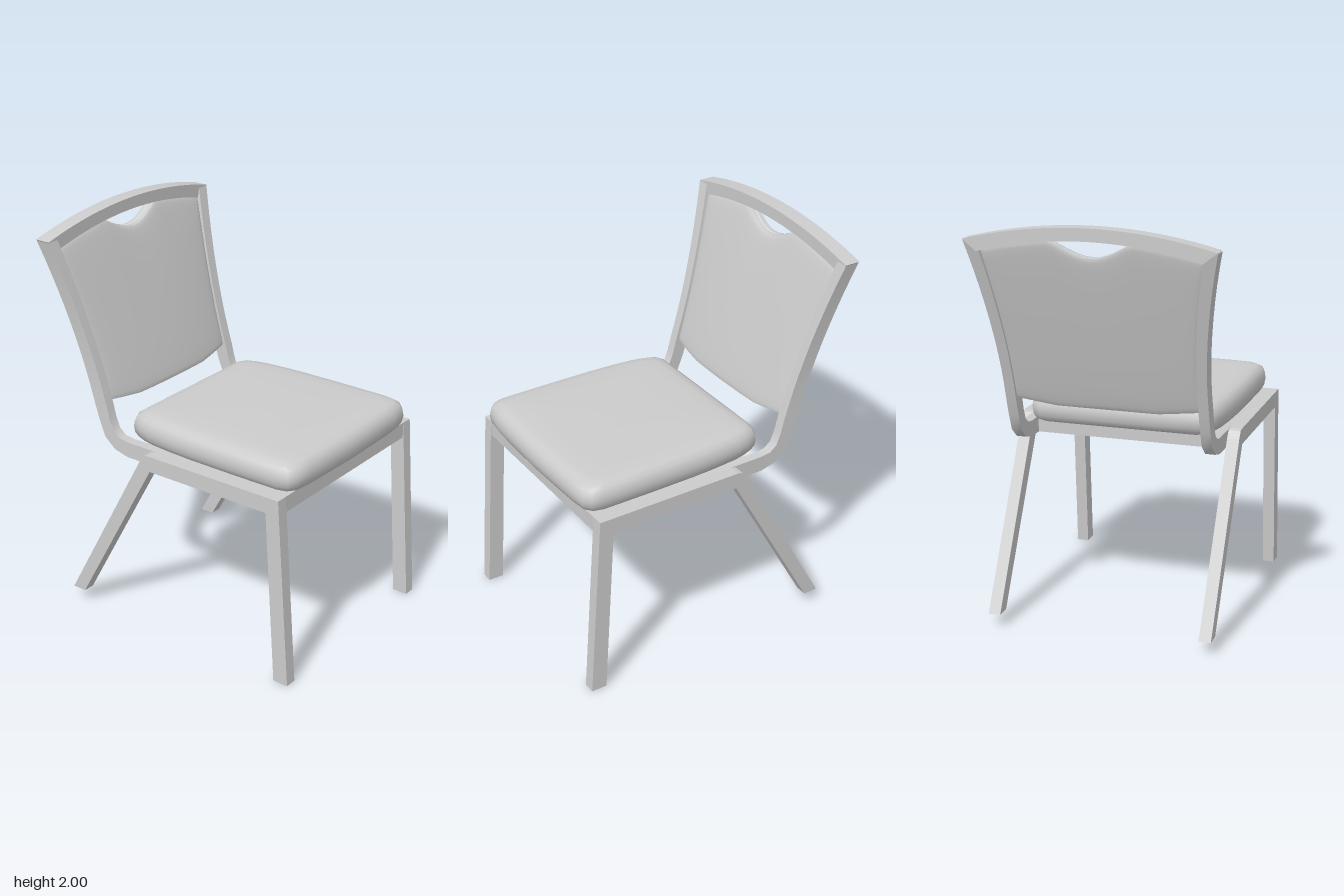
import * as THREE from 'three';
import { toCreasedNormals } from 'three/addons/utils/BufferGeometryUtils.js';

const material = new THREE.MeshStandardMaterial({ color: 0xcccccc });

// Outward flare of the back frame at height y
const flare = (y) => 0.097 * Math.pow(Math.max(0, (y - 1.2) / 0.72), 1.8);
// Inner face of the back uprights at height y
const innerX = (y) => 0.45 + 0.88 * flare(y);
// Backward lean of the back at height y
const lean = (y) => -0.3 * (y - 1.1);
// Lower edge of the bowed top bar
const barUnderside = (x) => 1.94 - 0.07 * (x / 0.53) ** 2;

function addMesh(parent, name, geometry) {
  const mesh = new THREE.Mesh(geometry, material);
  mesh.name = name;
  parent.add(mesh);
  return mesh;
}

// Surface from a rule fn(i, j) -> [x, y, z] on an nu by nv grid
function surface(fn, nu, nv) {
  const pos = [], idx = [];
  for (let j = 0; j <= nv; j++) {
    for (let i = 0; i <= nu; i++) pos.push(...fn(i, j));
  }
  for (let j = 0; j < nv; j++) {
    for (let i = 0; i < nu; i++) {
      const a = j * (nu + 1) + i, b = a + 1, c = a + nu + 1, d = c + 1;
      idx.push(a, b, d, a, d, c);
    }
  }
  const g = new THREE.BufferGeometry();
  g.setAttribute('position', new THREE.Float32BufferAttribute(pos, 3));
  g.setIndex(idx);
  return toCreasedNormals(g, 0.8);
}

// Front leg, side rail and splayed rear leg as one bent tube
function legTube(x0, x1) {
  const profile = [
    [0.73, 0], [0.665, 0.96], [-0.1, 0.96], [-0.125, 0.955], [-0.15, 0.92],
    [-0.62, 0.065], [-0.545, 0.065], [-0.09, 0.88], [0.595, 0.88], [0.65, 0],
  ];
  const shape = new THREE.Shape(profile.map(([z, y]) => new THREE.Vector2(-z, y)));
  const g = new THREE.ExtrudeGeometry(shape, { depth: x1 - x0, bevelEnabled: false });
  return g.rotateY(Math.PI / 2).translate(x0, 0, 0);
}

// Inner rail that bends up into the flared back upright
function uprightTube(side) {
  // [upper z, upper y, lower z, lower y] of each cross-section
  const sections = [
    [0.6, 0.96, 0.6, 0.88], [-0.28, 0.96, -0.28, 0.88], [-0.33, 0.967, -0.36, 0.9],
    [-0.365, 0.995, -0.42, 0.95], [-0.388, 1.05, -0.452, 1.03],
  ];
  for (let y = 1.12; y < 1.925; y += 0.08) {
    sections.push([-0.4 + lean(y), y, -0.475 + lean(y), y]);
  }
  const corners = side > 0 ? [[0, 0], [1, 0], [1, 1], [0, 1], [0, 0]] : [[1, 0], [0, 0], [0, 1], [1, 1], [1, 0]];
  return surface((i, j) => {
    const [outer, under] = corners[i], s = sections[j];
    const z = s[under * 2], y = s[under * 2 + 1];
    return [side * (outer ? 0.5 + flare(y) : innerX(y)), y, z];
  }, 4, sections.length - 1);
}

// Bowed bar across the top of the back
function topBar() {
  const upper = [], lower = [];
  for (let i = 0; i <= 20; i++) {
    const t = i / 10 - 1;
    upper.push(new THREE.Vector2(0.597 * t, 2 - 0.077 * t * t));
    lower.unshift(new THREE.Vector2(0.53 * t, barUnderside(0.53 * t)));
  }
  const shape = new THREE.Shape([...upper, ...lower]);
  const g = new THREE.ExtrudeGeometry(shape, { depth: 0.08, bevelEnabled: false });
  return toCreasedNormals(g.translate(0, 0, -0.726), 0.4);
}

// Padded back filling the frame, with a hand-hold notch in its upper edge
function backPad() {
  const nu = 96, nv = 28;
  return surface((i, j) => {
    const a = (i / nu) * Math.PI * 2, b = (j / nv) * Math.PI;
    const u = -Math.cos(a), v = 0.5 - 0.5 * Math.cos(b);
    const xTop = 0.54 * u, xLow = 0.455 * u;
    const notch = Math.abs(xTop) < 0.19 ? 0.084 * Math.cos((Math.PI / 2) * xTop / 0.19) : 0;
    const top = barUnderside(xTop) + 0.004 - notch;
    const low = 1.1 + 0.025 * Math.max(0, (Math.abs(xLow) - 0.25) / 0.2);
    const y = low + (top - low) * v;
    const sin = Math.sin(a);
    const round = Math.sign(sin) * Math.pow(Math.abs(sin * Math.sin(b)), 0.2);
    const bow = sin > 0 ? 0.018 * (1 - u * u) * (1 - 0.7 * v) : 0;
    return [u * (innerX(y) + 0.004), y, -0.4375 + lean(y) + bow + 0.036 * round];
  }, nu, nv);
}

// Plump seat cushion: scaled copies of one outline, stacked
function seatCushion() {
  const half = [[0.2, 0.709], [0.36, 0.704], [0.45, 0.694], [0.488, 0.665], [0.502, 0.61],
    [0.503, 0.35], [0.5, 0.1], [0.494, -0.03], [0.482, -0.16], [0.468, -0.225], [0.447, -0.28],
    [0.405, -0.305], [0.2, -0.306]];
  const outline = [[0, 0.713], ...half, [0, -0.306], ...half.slice().reverse().map(([x, z]) => [-x, z])];
  // [scale, height] from the underside to the crown
  const rings = [[0, 0.96], [0.93, 0.96], [0.965, 0.97], [0.99, 0.995], [1, 1.025], [0.993, 1.05],
    [0.97, 1.08], [0.92, 1.097], [0.84, 1.104], [0.7, 1.108], [0.4, 1.112], [0, 1.114]];
  const n = outline.length;
  return surface((i, j) => {
    const [x, z] = outline[i % n], [k, y] = rings[j];
    return [x * k, y, (z - 0.205) * k + 0.205];
  }, n, rings.length - 1);
}

export function createModel() {
  const chair = new THREE.Group();
  chair.name = 'chair';

  // Paired side tubes
  for (const [label, side] of [['left', 1], ['right', -1]]) {
    addMesh(chair, label + 'LegsAndRail', side > 0 ? legTube(0.5, 0.56) : legTube(-0.56, -0.5));
    addMesh(chair, label + 'BackUpright', uprightTube(side));
  }

  // Cross bars under the seat
  addMesh(chair, 'frontCrossBar', new THREE.BoxGeometry(1.0, 0.08, 0.07)).position.set(0, 0.92, 0.63);
  addMesh(chair, 'rearCrossBar', new THREE.BoxGeometry(0.9, 0.08, 0.07)).position.set(0, 0.92, -0.16);

  addMesh(chair, 'backTopBar', topBar());
  addMesh(chair, 'backPad', backPad());
  addMesh(chair, 'seatCushion', seatCushion());
  return chair;
}
